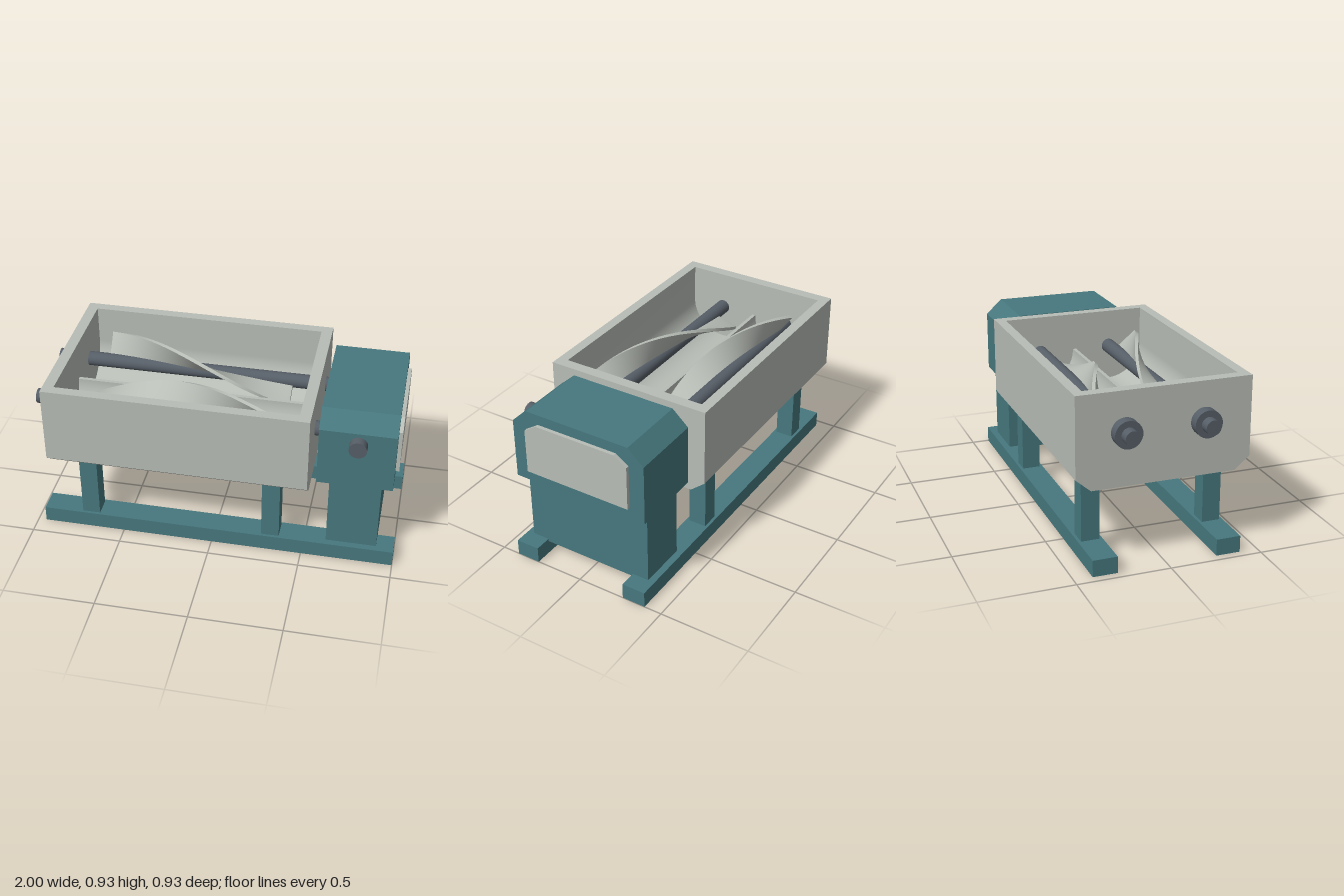
import * as THREE from 'three';
import { toCreasedNormals } from 'three/addons/utils/BufferGeometryUtils.js';

const material = (name, color) => {
  const m = new THREE.MeshStandardMaterial({ color });
  m.name = name;
  return m;
};

export function createModel() {
  const teal = material('teal paint', 0x46787e);
  const grey = material('light grey metal', 0xb8bdb6);
  const steel = material('dark steel', 0x565e67);
  const group = new THREE.Group();

  const add = (name, geometry, mat, x = 0, y = 0, z = 0) => {
    const mesh = new THREE.Mesh(geometry, mat);
    mesh.name = name;
    mesh.position.set(x, y, z);
    group.add(mesh);
    return mesh;
  };
  // box given by its limits on each axis
  const box = (name, mat, x0, x1, y0, y1, z0, z1) =>
    add(name, new THREE.BoxGeometry(x1 - x0, y1 - y0, z1 - z0), mat,
      (x0 + x1) / 2, (y0 + y1) / 2, (z0 + z1) / 2);
  // side profile (z, y) extruded along x
  const extrudeX = (name, mat, shape, x0, x1) => {
    const g = new THREE.ExtrudeGeometry(shape, { depth: x1 - x0, bevelEnabled: false, curveSegments: 32 });
    g.rotateY(Math.PI / 2);
    return add(name, toCreasedNormals(g, 0.4), mat, x0);
  };
  const polygon = (pts) => new THREE.Shape(pts.map(([a, b]) => new THREE.Vector2(a, b)));
  // cylinder along x
  const rodX = (name, r, x0, x1, y, z) => {
    const g = new THREE.CylinderGeometry(r, r, x1 - x0, 32);
    g.rotateZ(Math.PI / 2);
    return add(name, g, steel, (x0 + x1) / 2, y, z);
  };

  // Base: two rails with two legs each
  for (const s of [-1, 1]) {
    const mid = s * 0.335;
    box('baseRail', teal, -0.955, 1, 0, 0.09, mid - 0.066, mid + 0.066);
    for (const x of [-0.688, 0.325])
      box('leg', teal, x - 0.049, x + 0.049, 0.09, 0.432, mid - 0.05, mid + 0.05);
  }

  // Trough: body with two half-round channels, closed by end walls
  const shaftY = 0.72, shaftZ = 0.21;
  const outline = [[-0.465, 0.93], [-0.465, 0.5], [-0.385, 0.432], [0.385, 0.432], [0.465, 0.5], [0.465, 0.93]];
  const body = polygon(outline);
  body.lineTo(0.41, 0.93);
  body.lineTo(0.41, shaftY);
  body.absarc(shaftZ, shaftY, 0.2, 0, -Math.PI, true);
  body.lineTo(-0.01, shaftY);
  body.absarc(-shaftZ, shaftY, 0.2, 0, -Math.PI, true);
  body.lineTo(-0.41, 0.93);
  extrudeX('troughBody', grey, body, -0.83, 0.465);
  extrudeX('troughEndWall', grey, polygon(outline), -0.89, -0.83);
  extrudeX('troughEndWall', grey, polygon(outline), 0.465, 0.525);

  // Twisted mixing blade: a radial bar swept along the shaft while turning
  const blade = (startDeg, sweepDeg) => {
    const steps = 48, x0 = -0.71, x1 = 0.345, h = 0.01;
    const corners = [[0.035, -h], [0.162, -h], [0.162, h], [0.035, h]];
    const pos = [], index = [];
    for (let i = 0; i <= steps; i++) {
      const t = i / steps;
      const a = THREE.MathUtils.degToRad(startDeg + sweepDeg * t);
      for (const [r, w] of corners)
        pos.push(x0 + (x1 - x0) * t, r * Math.sin(a) + w * Math.cos(a), r * Math.cos(a) - w * Math.sin(a));
    }
    for (let i = 0; i < steps; i++)
      for (let j = 0; j < 4; j++) {
        const a = i * 4 + j, d = i * 4 + (j + 1) % 4, b = a + 4, c = d + 4;
        index.push(a, b, c, a, c, d);
      }
    const e = steps * 4;
    index.push(0, 1, 2, 0, 2, 3, e, e + 2, e + 1, e, e + 3, e + 2);
    const g = new THREE.BufferGeometry();
    g.setAttribute('position', new THREE.Float32BufferAttribute(pos, 3));
    g.setIndex(index);
    return toCreasedNormals(g, 0.6);
  };

  // Shafts with bearing collars and blades
  for (const [s, start] of [[-1, 126], [1, 197]]) {
    rodX('shaft', 0.04, -1, 0.6, shaftY, s * shaftZ);
    rodX('bearingCollar', 0.073, -0.945, -0.885, shaftY, s * shaftZ);
    add('mixingBlade', blade(start, -156), grey, 0, shaftY, s * shaftZ);
  }

  // Drive unit: pedestal, chamfered housing, end panel and knob
  box('pedestal', teal, 0.63, 0.905, 0.075, 0.505, -0.364, 0.364);
  extrudeX('driveHousing', teal, polygon([
    [-0.39, 0.503], [0.39, 0.503], [0.39, 0.84], [0.3, 0.922], [-0.3, 0.922], [-0.39, 0.84]]), 0.563, 0.965);
  extrudeX('endPanel', grey, polygon([
    [-0.304, 0.57], [0.304, 0.57], [0.304, 0.818], [0.232, 0.866], [-0.232, 0.866], [-0.304, 0.818]]), 0.96, 0.985);
  const knob = new THREE.CylinderGeometry(0.047, 0.047, 0.06, 32);
  knob.rotateX(Math.PI / 2);
  add('knob', knob, steel, 0.77, 0.773, 0.411);

  return group;
}
